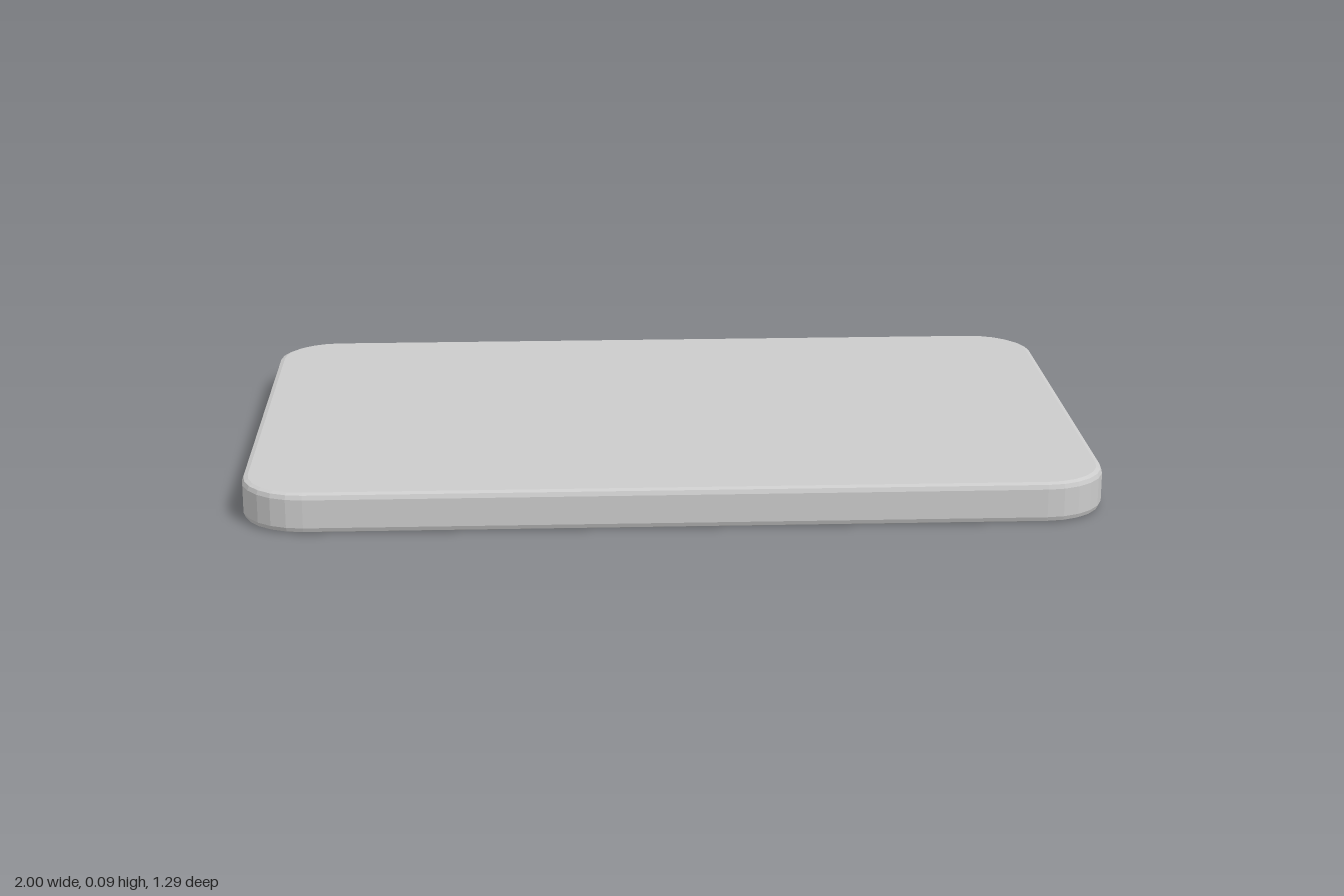
import * as THREE from 'three';

const HALF_X = 1, HALF_Z = 0.628, CENTRE_Z = 0.017, RADIUS = 0.15, HEIGHT = 0.095;
const CORNER_STEPS = 6;

// One rounded-rectangle ring at height y, drawn in by inset
function ring(inset, y) {
  const points = [];
  const corners = [[1, -1], [-1, -1], [-1, 1], [1, 1]];
  corners.forEach(([sx, sz], c) => {
    for (let i = 0; i <= CORNER_STEPS; i++) {
      const a = (c + i / CORNER_STEPS) * Math.PI / 2;
      points.push([
        sx * (HALF_X - RADIUS) + (RADIUS - inset) * Math.cos(a),
        y,
        CENTRE_Z + sz * (HALF_Z - RADIUS) - (RADIUS - inset) * Math.sin(a),
      ]);
    }
  });
  return points;
}

// Thin shell: softened rims, straight wall, closed top, open underside
function shellGeometry() {
  const b = 0.014, s = 0.004;
  const profile = [
    [b, 0], [s, s], [0, b],
    [0, HEIGHT - b], [s, HEIGHT - s], [b, HEIGHT],
  ];
  const rings = profile.map(([inset, y]) => ring(inset, y));
  const n = rings[0].length;
  const positions = rings.flat(2);
  positions.push(0, HEIGHT, CENTRE_Z);
  const centre = rings.length * n, last = centre - n;
  const index = [];
  for (let i = 0; i < n; i++) {
    const j = (i + 1) % n;
    for (let k = 0; k < rings.length - 1; k++) {
      const lo = k * n, hi = lo + n;
      index.push(lo + i, lo + j, hi + j, lo + i, hi + j, hi + i);
    }
    index.push(centre, last + i, last + j);
  }
  const geometry = new THREE.BufferGeometry();
  geometry.setAttribute('position', new THREE.Float32BufferAttribute(positions, 3));
  geometry.setIndex(index);
  const flat = geometry.toNonIndexed();
  flat.computeVertexNormals();
  return flat;
}

export function createModel() {
  const model = new THREE.Group();
  model.name = 'lid';

  const shell = new THREE.Mesh(
    shellGeometry(),
    new THREE.MeshStandardMaterial({ color: 0xcccccc, flatShading: true, side: THREE.DoubleSide }),
  );
  shell.name = 'lidShell';
  model.add(shell);

  // Hinge barrels along the back wall
  const barrel = new THREE.CylinderGeometry(0.03, 0.03, 0.248, 24).rotateZ(Math.PI / 2);
  const hingeMaterial = new THREE.MeshStandardMaterial({ color: 0xcccccc });
  for (const side of [-1, 1]) {
    const hinge = new THREE.Mesh(barrel, hingeMaterial);
    hinge.name = side > 0 ? 'leftHinge' : 'rightHinge';
    hinge.position.set(side * 0.619, 0.0475, -0.615);
    model.add(hinge);
  }
  return model;
}
